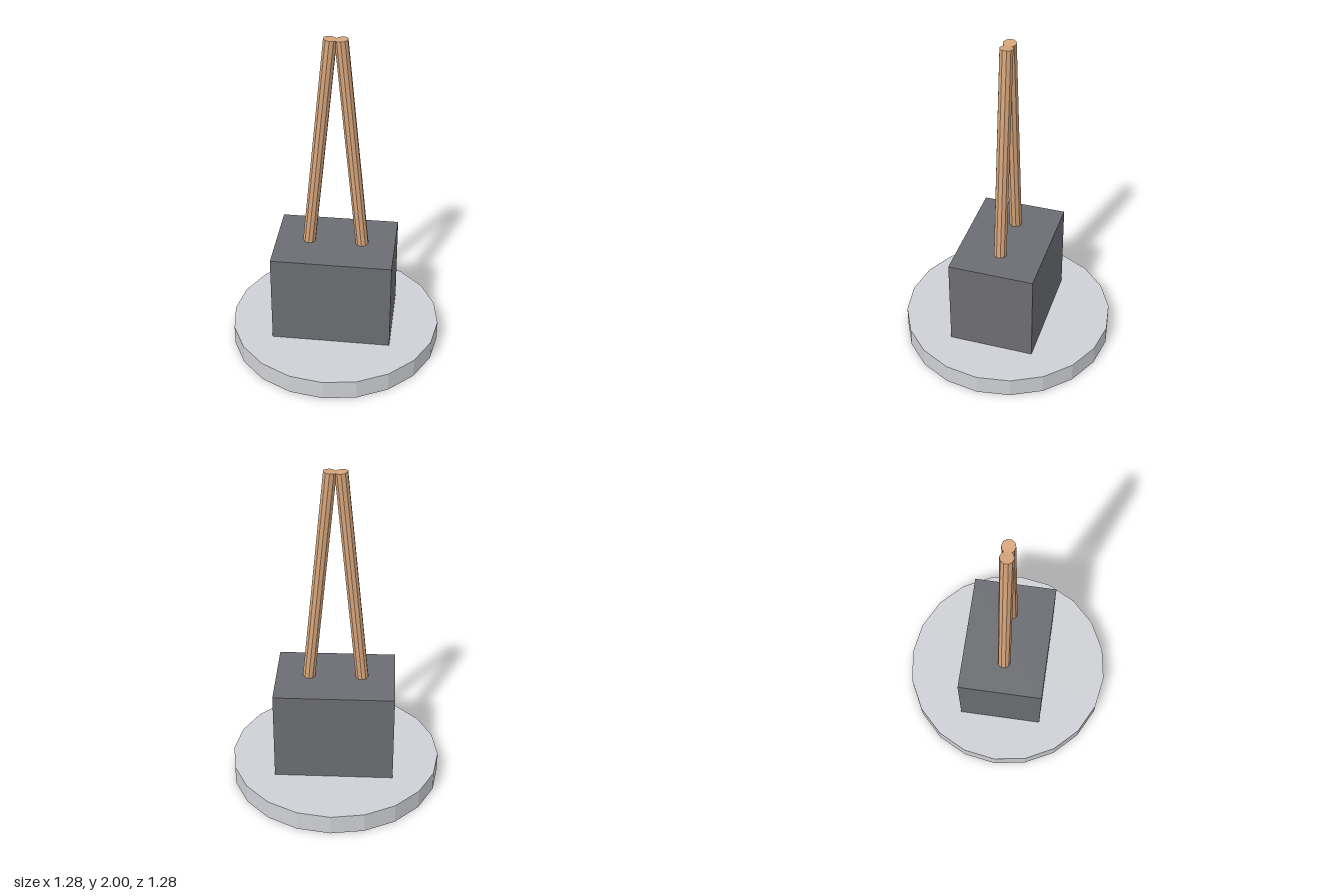
import * as THREE from 'three';

// Faceted cylinder with one flat normal per face
function facetedCylinder(radius, height, sides) {
  const g = new THREE.CylinderGeometry(radius, radius, height, sides).toNonIndexed();
  g.computeVertexNormals();
  return g;
}

export function createModel() {
  const lightGrey = new THREE.MeshStandardMaterial({ color: 0xcfd0d5 });
  lightGrey.name = 'lightGrey';
  const darkGrey = new THREE.MeshStandardMaterial({ color: 0x6c6d72 });
  darkGrey.name = 'darkGrey';
  const wood = new THREE.MeshStandardMaterial({ color: 0xd6a57c });
  wood.name = 'wood';

  const model = new THREE.Group();
  model.name = 'model';

  function add(name, geometry, material) {
    const mesh = new THREE.Mesh(geometry, material);
    mesh.name = name;
    model.add(mesh);
    return mesh;
  }

  // Twenty-sided disc
  add('base', facetedCylinder(0.64, 0.12, 20), lightGrey).position.y = 0.06;

  // Solid block standing on the disc
  add('block', new THREE.BoxGeometry(0.716, 0.562, 0.514), darkGrey).position.y = 0.401;

  // Two rods leaning together, meeting at the top
  const up = new THREE.Vector3(0, 1, 0);
  for (const [name, side] of [['leftRod', 1], ['rightRod', -1]]) {
    const foot = new THREE.Vector3(side * 0.16, 0.682, 0);
    const tip = new THREE.Vector3(side * 0.031, 1.996, 0);
    const axis = tip.clone().sub(foot);
    const rod = add(name, facetedCylinder(0.039, axis.length(), 10), wood);
    rod.position.copy(foot).lerp(tip, 0.5);
    rod.quaternion.setFromUnitVectors(up, axis.normalize());
  }

  return model;
}
